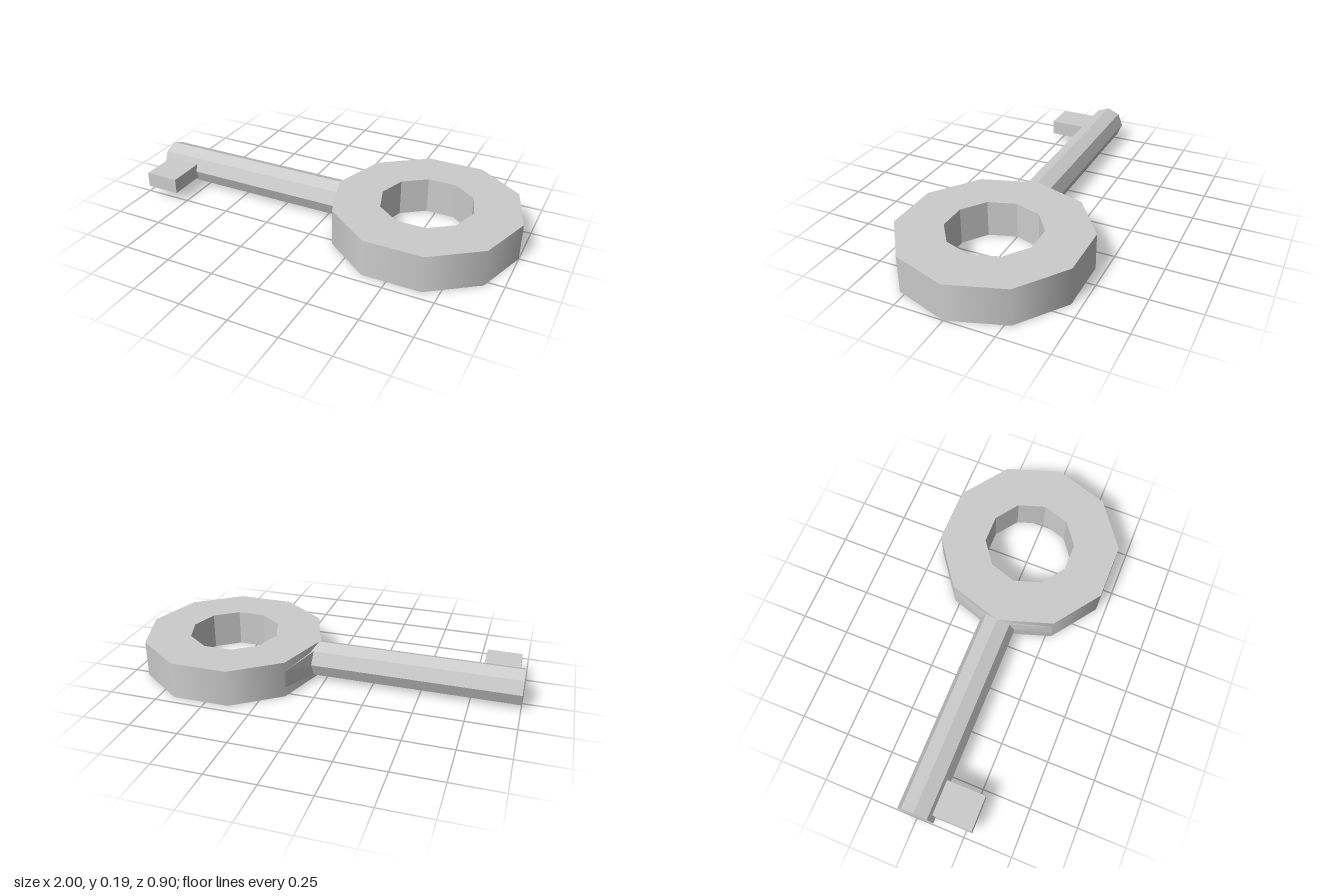
import * as THREE from 'three';
import { ConvexGeometry } from 'three/addons/geometries/ConvexGeometry.js';

const H = 0.19, MID = H / 2;          // key thickness and centre height
const RING_X = 0.525, OUTER = 0.475, INNER = 0.237, SIDES = 10;

export function createModel() {
  const key = new THREE.Group();
  key.name = 'key';
  const smooth = new THREE.MeshStandardMaterial({ color: 0xcccccc });
  const flat = new THREE.MeshStandardMaterial({ color: 0xcccccc, flatShading: true });

  const add = (parent, name, geometry, material, x = 0, y = 0, z = 0) => {
    const mesh = new THREE.Mesh(geometry, material);
    mesh.name = name;
    mesh.position.set(x, y, z);
    parent.add(mesh);
    return mesh;
  };

  // Ten-sided bow: smooth outer wall, faceted hole, flat faces
  const bow = new THREE.Group();
  bow.name = 'bow';
  bow.position.set(RING_X, MID, 0);
  key.add(bow);
  const wall = (r) => new THREE.CylinderGeometry(r, r, H, SIDES, 1, true, Math.PI / 2);
  add(bow, 'bowOuterWall', wall(OUTER), smooth);
  // Mirroring turns the wall to face inward
  const hole = wall(INNER).scale(1, 1, -1).toNonIndexed();
  hole.computeVertexNormals();
  add(bow, 'bowHoleWall', hole, flat);
  for (const side of [1, -1]) {
    const face = new THREE.RingGeometry(INNER, OUTER, SIDES, 1).rotateX(-side * Math.PI / 2);
    add(bow, side > 0 ? 'bowTop' : 'bowBottom', face, flat, 0, side * MID, 0);
  }

  // Octagonal shaft, running slightly into the bow
  const start = -1, end = 0.08;
  const shaft = new THREE.CylinderGeometry(MID, MID, end - start, 8).rotateZ(Math.PI / 2);
  add(key, 'shaft', shaft, flat, (start + end) / 2, MID, 0);

  // Shallow collar flaring from the shaft onto the bow
  const collar = [];
  for (const s of [1, -1]) {
    collar.push(new THREE.Vector3(0.065, MID, s * 0.095));
    for (const v of [1, -1]) {
      collar.push(new THREE.Vector3(0.06, MID + v * 0.067, s * 0.067));
      collar.push(new THREE.Vector3(0.141, MID + v * 0.045, s * 0.279));
    }
  }
  add(key, 'collar', new ConvexGeometry(collar), flat);

  // Single tooth
  add(key, 'tooth', new THREE.BoxGeometry(0.18, 0.08, 0.225), flat, -0.88, 0.093, 0.17);

  return key;
}
